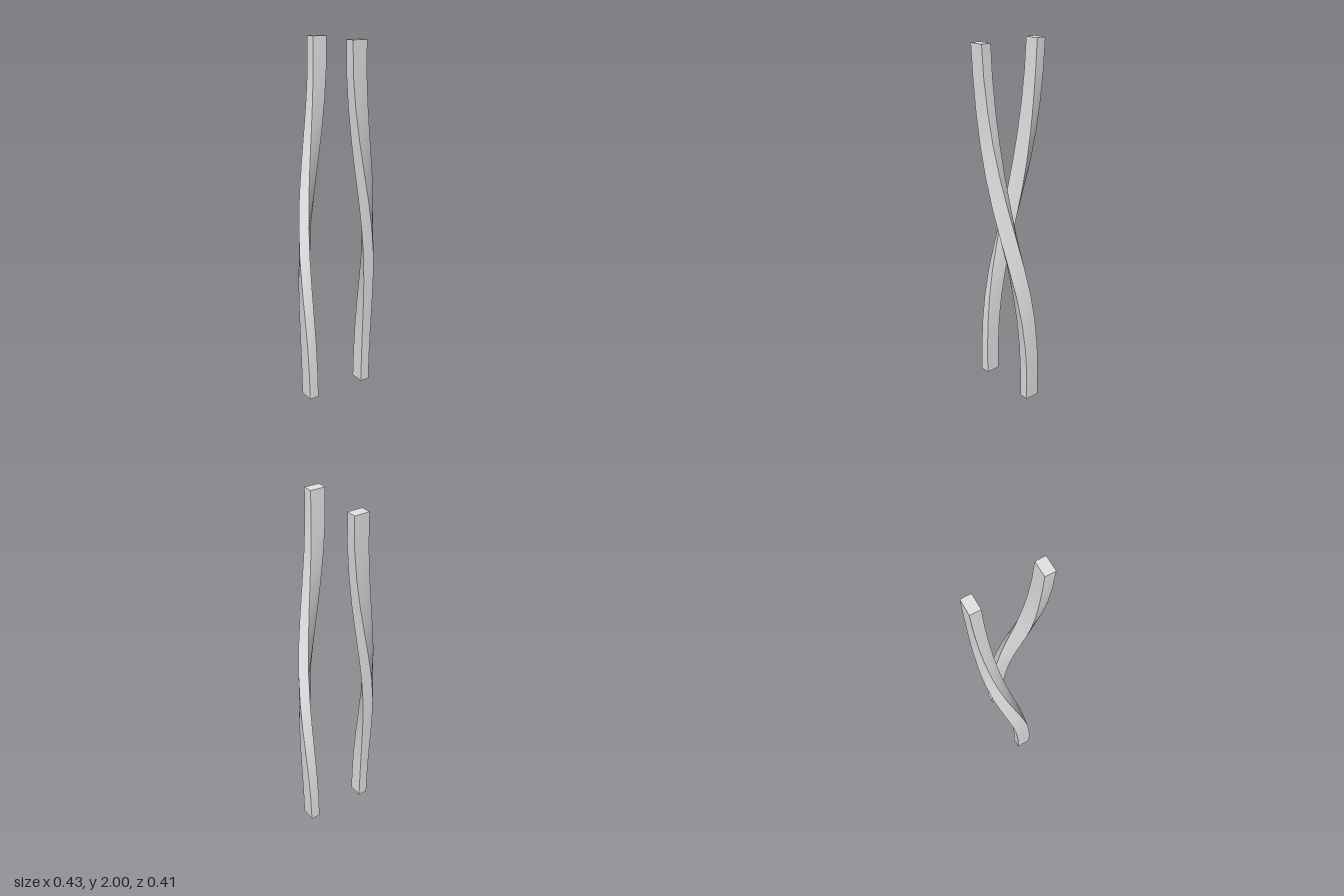
import * as THREE from 'three';

const HEIGHT = 2, WIDTH = 0.084, DEPTH = 0.056, RADIUS = 0.179;

// A square bar swept through an eased quarter turn around the vertical axis
function twistedBar() {
  const geo = new THREE.BoxGeometry(WIDTH, HEIGHT, DEPTH, 1, 12, 1);
  const pos = geo.attributes.position;
  for (let i = 0; i < pos.count; i++) {
    const y = pos.getY(i) + HEIGHT / 2;
    const t = 1 - y / HEIGHT;
    const wave = Math.sin(Math.PI * t);
    // the turn runs slightly ahead in the lower half
    const angle = (Math.PI / 2) * THREE.MathUtils.smoothstep(t + 0.13 * t * t * wave, 0, 1);
    const x = pos.getX(i);
    // the bar draws in early in the turn and swells out again lower down
    const r = RADIUS + pos.getZ(i) - 0.007 * (wave + Math.sin(2 * Math.PI * t));
    pos.setXYZ(i,
      x * Math.cos(angle) + r * Math.sin(angle),
      y,
      r * Math.cos(angle) - x * Math.sin(angle));
  }
  geo.computeVertexNormals();
  return geo;
}

export function createModel() {
  const model = new THREE.Group();
  model.name = 'twistedBars';
  const paleGrey = new THREE.MeshStandardMaterial({ color: 0xe3e3e3 });
  paleGrey.name = 'paleGrey';
  const geo = twistedBar();

  // Two identical bars, half a turn apart
  ['frontBar', 'backBar'].forEach((name, i) => {
    const bar = new THREE.Mesh(geo, paleGrey);
    bar.name = name;
    bar.rotation.y = i * Math.PI;
    model.add(bar);
  });
  return model;
}
